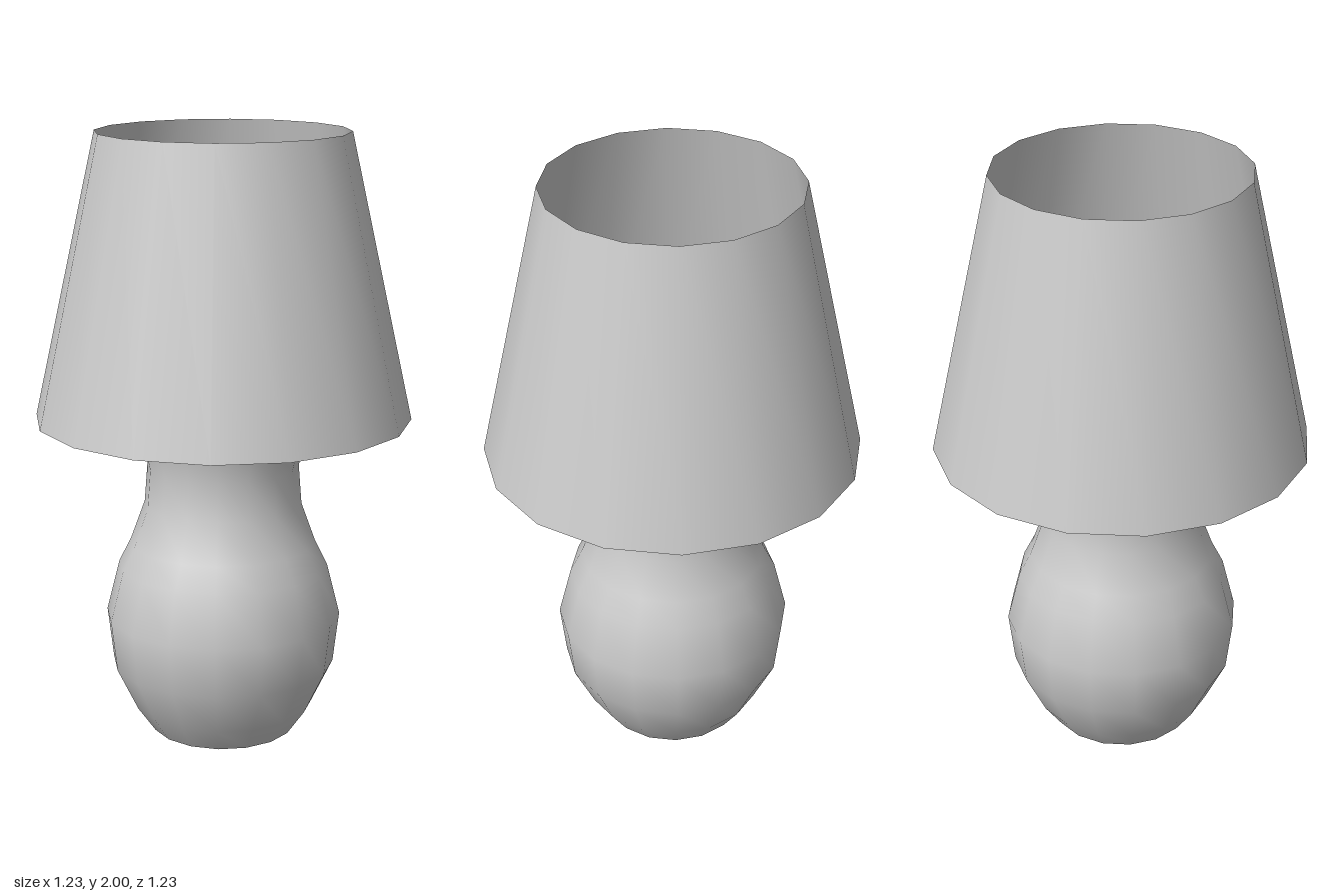
import * as THREE from 'three';

const SIDES = 16;

export function createModel() {
  const lamp = new THREE.Group();
  lamp.name = 'tableLamp';
  const grey = new THREE.MeshStandardMaterial({ color: 0xcccccc });
  const thinGrey = new THREE.MeshStandardMaterial({ color: 0xcccccc, side: THREE.DoubleSide });

  const add = (name, geometry, material = grey, y = 0) => {
    const mesh = new THREE.Mesh(geometry, material);
    mesh.name = name;
    mesh.position.y = y;
    lamp.add(mesh);
  };
  const lathe = (profile) =>
    new THREE.LatheGeometry(profile.map(([r, y]) => new THREE.Vector2(r, y)), SIDES);

  // Vase-shaped base; foot and top are separate so their rims stay sharp
  add('baseBody', lathe([
    [0.24, 0], [0.3, 0.085], [0.37, 0.23], [0.39, 0.4], [0.347, 0.57],
    [0.307, 0.65], [0.26, 0.78], [0.25, 0.91], [0.27, 1],
  ]));
  add('baseFoot', lathe([[0, 0], [0.24, 0]]));
  add('baseTop', lathe([[0.27, 1], [0.1, 1.025], [0, 1.025]]));

  // Socket and bulb
  add('socket', new THREE.CylinderGeometry(0.1, 0.1, 0.12, SIDES), grey, 1.075);
  add('bulb', new THREE.SphereGeometry(0.14, SIDES, 12), grey, 1.26);

  // Thin conical shade, open at both ends
  add('shade', lathe([[0.615, 1.07], [0.41, 2]]), thinGrey);

  return lamp;
}
